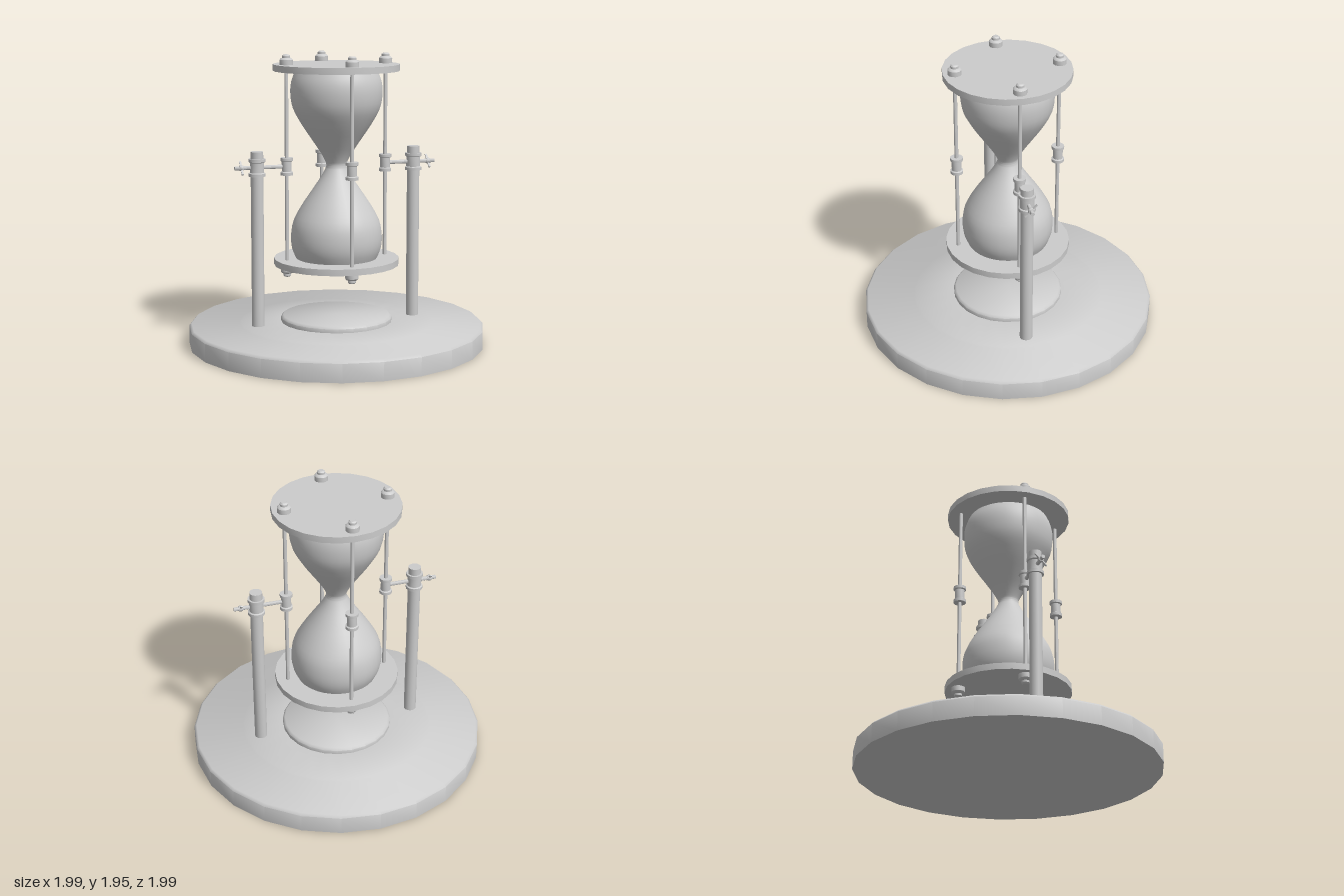
import * as THREE from 'three';
import { toCreasedNormals } from 'three/addons/utils/BufferGeometryUtils.js';

const material = new THREE.MeshStandardMaterial({ color: 0xcccccc });

// Turned part from [radius, height] pairs, listed bottom to top
function turned(name, profile, sides, crease = 0.6) {
  const points = profile.map(([r, y]) => new THREE.Vector2(r, y));
  const geometry = toCreasedNormals(new THREE.LatheGeometry(points, sides), crease);
  const mesh = new THREE.Mesh(geometry, material);
  mesh.name = name;
  return mesh;
}

function rod(name, radius, y0, y1, sides) {
  return turned(name, [[0, y0], [radius, y0], [radius, y1], [0, y1]], sides);
}

// Spool with a flange at each end, centred on the pivot height
function spool(name, body, flange) {
  const b = 1.157, t = 1.273, h = 0.02;
  return turned(name, [
    [0, b], [flange, b], [flange, b + h], [body, b + h + 0.005],
    [body, t - h - 0.005], [flange, t - h], [flange, t], [0, t],
  ], 16);
}

// Stepped nut with a small domed tip, growing up from y = 0
function nut(name) {
  return turned(name, [
    [0, 0], [0.045, 0], [0.045, 0.033], [0.036, 0.043],
    [0.027, 0.046], [0.027, 0.06], [0.018, 0.068], [0, 0.068],
  ], 12);
}

// Glass bulbs: one smooth profile pinched at the neck
function glass() {
  const half = [[0.272, 0.585], [0.298, 0.65], [0.306, 0.73], [0.29, 0.83],
    [0.235, 0.935], [0.165, 1.04], [0.105, 1.13], [0.073, 1.19]];
  const upper = half.map(([r, y]) => [r, 2.425 - y]).reverse();
  const curve = new THREE.SplineCurve(
    [...half, [0.068, 1.2125], ...upper].map(([r, y]) => new THREE.Vector2(r, y)));
  const mesh = turned('glass', curve.getPoints(48).map((p) => [p.x, p.y]), 32, 1);
  return mesh;
}

// Post, pivot axle and wing screw on the +x side
function support() {
  const group = new THREE.Group();
  const post = rod('post', 0.042, 0.14, 1.32, 20);
  const collar = spool('postCollar', 0.047, 0.056);
  post.position.x = collar.position.x = 0.545;

  const axle = rod('axle', 0.013, 0.343, 0.695, 12);
  axle.rotation.z = -Math.PI / 2;
  axle.position.y = 1.215;

  const wing = new THREE.Group();
  wing.name = 'wingScrew';
  const hub = turned('wingHub', [[0, -0.013], [0.017, -0.013], [0.021, 0],
    [0.017, 0.013], [0, 0.013]], 12);
  hub.rotation.z = -Math.PI / 2;
  const blade = new THREE.Mesh(new THREE.BoxGeometry(0.014, 0.11, 0.008), material);
  blade.name = 'wingBlade';
  blade.rotation.x = -Math.PI / 4;
  wing.add(hub, blade);
  wing.position.set(0.65, 1.215, 0);

  group.add(post, collar, axle, wing);
  return group;
}

export function createModel() {
  const model = new THREE.Group();
  model.name = 'hourglass';

  // Round stepped base
  model.add(turned('base', [
    [0, 0], [0.996, 0], [0.996, 0.122], [0.98, 0.138], [0.656, 0.14],
    [0.645, 0.15], [0.375, 0.152], [0.375, 0.178], [0.36, 0.193], [0, 0.193],
  ], 24, 0.8));

  // End plates and glass
  model.add(rod('lowerPlate', 0.42, 0.542, 0.585, 24));
  model.add(rod('upperPlate', 0.42, 1.84, 1.883, 24));
  model.add(glass());

  // Four tie rods with their spools and nuts
  for (let i = 0; i < 4; i++) {
    const tie = new THREE.Group();
    tie.name = 'tieRod' + (i + 1);
    const top = nut('topNut');
    top.position.y = 1.883;
    const bottom = nut('bottomNut');
    bottom.rotation.x = Math.PI;
    bottom.position.y = 0.542;
    tie.add(rod('rod', 0.013, 0.58, 1.845, 12), spool('rodSpool', 0.033, 0.042), top, bottom);
    const a = i * Math.PI / 2;
    tie.position.set(0.343 * Math.cos(a), 0, 0.343 * Math.sin(a));
    model.add(tie);
  }

  // Mirrored supports
  for (const side of [1, -1]) {
    const s = support();
    s.name = side > 0 ? 'leftSupport' : 'rightSupport';
    s.scale.x = side;
    model.add(s);
  }
  return model;
}
